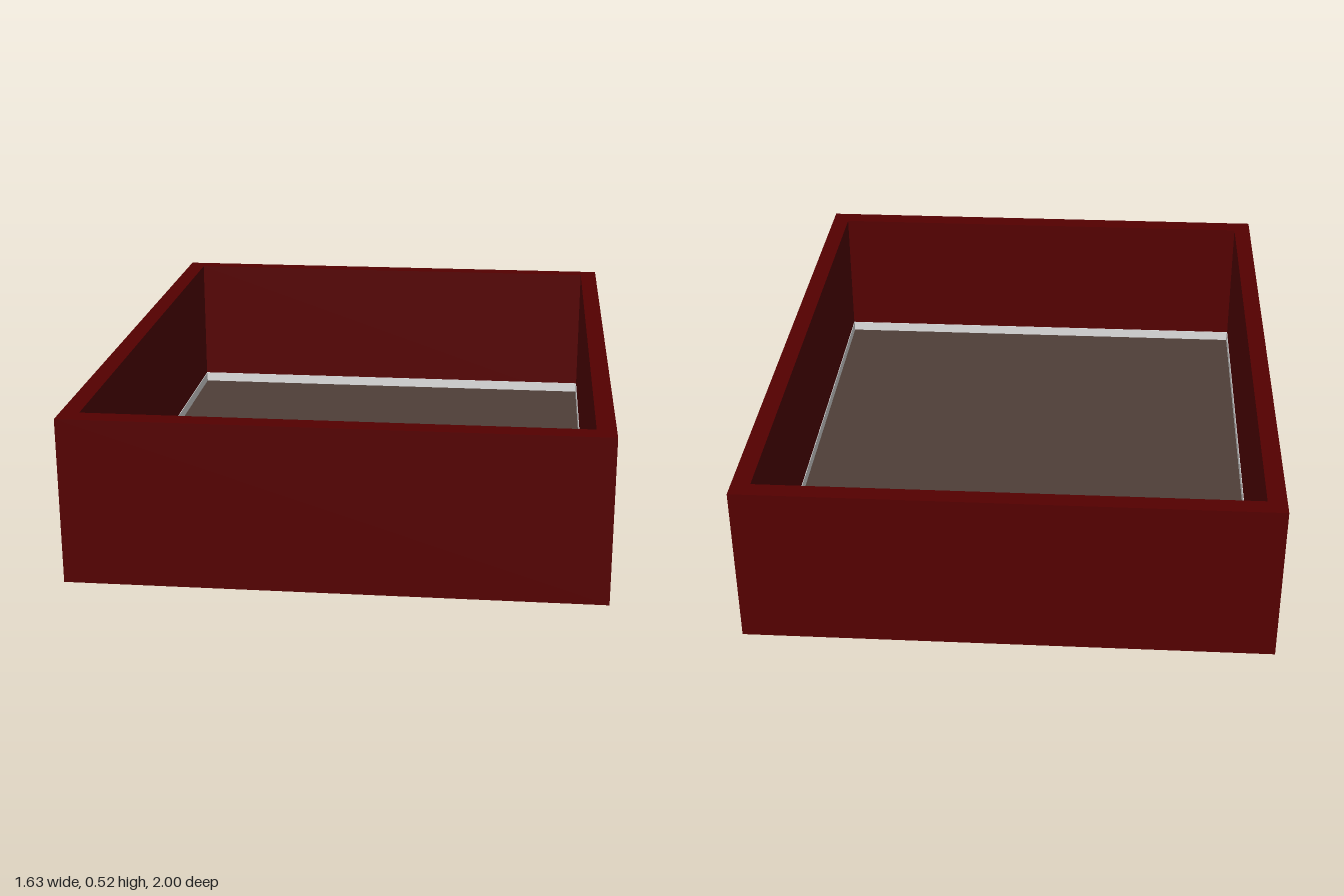
import * as THREE from 'three';

const W = 1.634, L = 2, H = 0.52;         // outer size
const SIDE = 0.058, BACK = 0.057, FRONT = 0.066; // wall thicknesses
const FLOOR = 0.035, SKIRT = 0.07;        // floor level and top of the pale skirting

export function createModel() {
  const red = new THREE.MeshStandardMaterial({ color: 0x540000 });
  red.name = 'darkRed';
  const brown = new THREE.MeshStandardMaterial({ color: 0x4f3f38 });
  brown.name = 'greyBrown';
  const pale = new THREE.MeshStandardMaterial({ color: 0xdedede });
  pale.name = 'paleGrey';

  const group = new THREE.Group();
  group.name = 'openBox';

  // Box given by its lower and upper corners
  const block = (name, mat, x0, x1, y0, y1, z0, z1) => {
    const mesh = new THREE.Mesh(new THREE.BoxGeometry(x1 - x0, y1 - y0, z1 - z0), mat);
    mesh.position.set((x0 + x1) / 2, (y0 + y1) / 2, (z0 + z1) / 2);
    mesh.name = name;
    group.add(mesh);
  };

  // Outer walls as one rectangular ring
  const rect = (path, x, z0, z1) =>
    path.moveTo(-x, -z0).lineTo(x, -z0).lineTo(x, -z1).lineTo(-x, -z1).closePath();
  const ix = W / 2 - SIDE, zb = -L / 2 + BACK, zf = L / 2 - FRONT;
  const ring = rect(new THREE.Shape(), W / 2, L / 2, -L / 2);
  ring.holes.push(rect(new THREE.Path(), ix, zf, zb));
  const geo = new THREE.ExtrudeGeometry(ring, { depth: H, bevelEnabled: false });
  geo.rotateX(-Math.PI / 2);
  const walls = new THREE.Mesh(geo, red);
  walls.name = 'walls';
  group.add(walls);

  // Base and inner floor
  block('base', red, -ix, ix, 0, 0.02, zb, zf);
  block('floor', brown, -ix, ix, 0.02, FLOOR, zb, zf);

  // Pale skirting around the floor
  const t = 0.002;
  for (const s of [-1, 1]) {
    const x0 = s < 0 ? -ix : ix - t;
    block('sideSkirting', pale, x0, x0 + t, FLOOR, SKIRT, zb, zf);
  }
  block('backSkirting', pale, -ix, ix, FLOOR, SKIRT, zb, zb + t);
  block('frontSkirting', pale, -ix, ix, FLOOR, SKIRT, zf - t, zf);

  // Pale strip across the underside
  const strip = new THREE.Mesh(new THREE.PlaneGeometry(W, 0.39), pale);
  strip.rotation.x = Math.PI / 2;
  strip.position.set(0, -0.001, -0.365);
  strip.name = 'undersideStrip';
  group.add(strip);

  return group;
}
